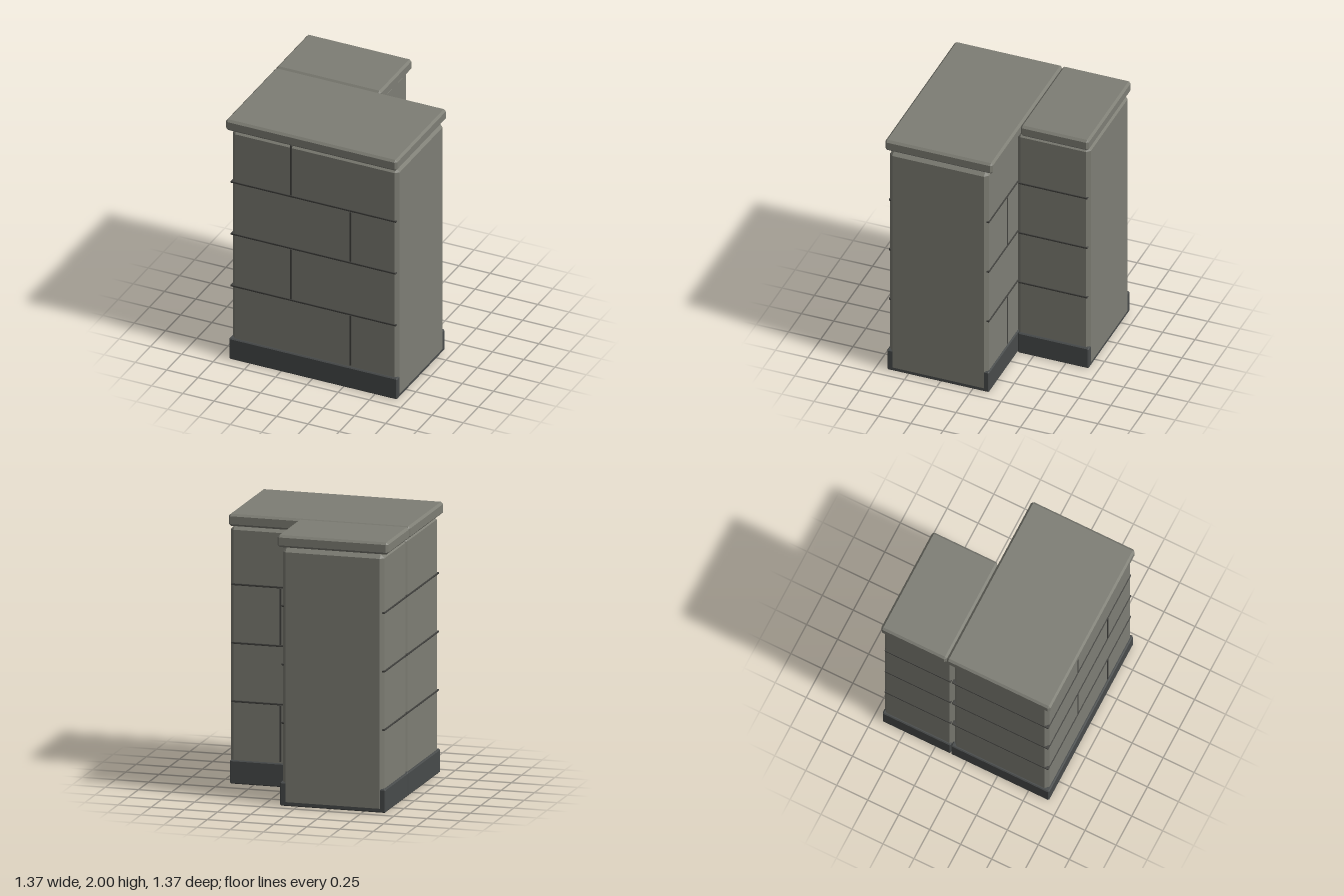
import * as THREE from 'three';
import { ConvexGeometry } from 'three/addons/geometries/ConvexGeometry.js';

const material = (color) => new THREE.MeshStandardMaterial({ color, flatShading: true });

// Box between two corners with every edge chamfered by c
function chamferBox(min, max, c) {
  const center = min.map((v, i) => (v + max[i]) / 2);
  const half = min.map((v, i) => (max[i] - v) / 2);
  const points = [];
  for (const sx of [-1, 1]) for (const sy of [-1, 1]) for (const sz of [-1, 1]) {
    for (let full = 0; full < 3; full++) {
      const p = [sx, sy, sz].map((s, i) => center[i] + s * (half[i] - (i === full ? 0 : c)));
      points.push(new THREE.Vector3(...p));
    }
  }
  return new ConvexGeometry(points);
}

export function createModel() {
  const model = new THREE.Group();
  const stone = material(0x7e7e75);
  const plinth = material(0x484b4b);
  const mortar = material(0x42423f);

  const add = (parent, name, mat, min, max, c) => {
    const mesh = new THREE.Mesh(chamferBox(min, max, c), mat);
    mesh.name = name;
    parent.add(mesh);
  };

  // Each wall leg: footprints [xMin, xMax, zMin, zMax] of its layers
  const legs = [
    {
      name: 'frontWall',
      base: [-0.665, 0.679, -0.126, 0.665],
      body: [-0.65, 0.68, -0.116, 0.65],
      joint: [-0.656, 0.665, -0.122, 0.656],
      cap: [-0.685, 0.682, -0.153, 0.682],
    },
    {
      name: 'rearWall',
      base: [-0.665, 0.13, -0.679, -0.13],
      body: [-0.65, 0.115, -0.68, -0.116],
      joint: [-0.656, 0.121, -0.665, -0.13],
      cap: [-0.685, 0.15, -0.684, -0.155],
    },
  ];
  const jointHeights = [0.61, 1.042, 1.475];

  for (const leg of legs) {
    const group = new THREE.Group();
    group.name = leg.name;
    const layer = (name, mat, [x0, x1, z0, z1], y0, y1, c) =>
      add(group, name, mat, [x0, y0, z0], [x1, y1, z1], c);

    layer('base', plinth, leg.base, 0, 0.175, 0.008);
    layer('body', stone, leg.body, 0.002, 1.905, 0.028);
    layer('cap', stone, leg.cap, 1.91, 2, 0.016);
    for (const y of jointHeights)
      layer('horizontalJoint', mortar, leg.joint, y - 0.007, y + 0.007, 0.002);
    model.add(group);
  }

  // Staggered vertical joints running through the front wall
  const courses = [[0.3, 0.185, 0.6], [-0.175, 0.617, 1.033], [0.3, 1.05, 1.465], [-0.175, 1.483, 1.9]];
  for (const [x, y0, y1] of courses)
    add(model, 'verticalJoint', mortar, [x - 0.007, y0, -0.12], [x + 0.007, y1, 0.654], 0.002);

  return model;
}
